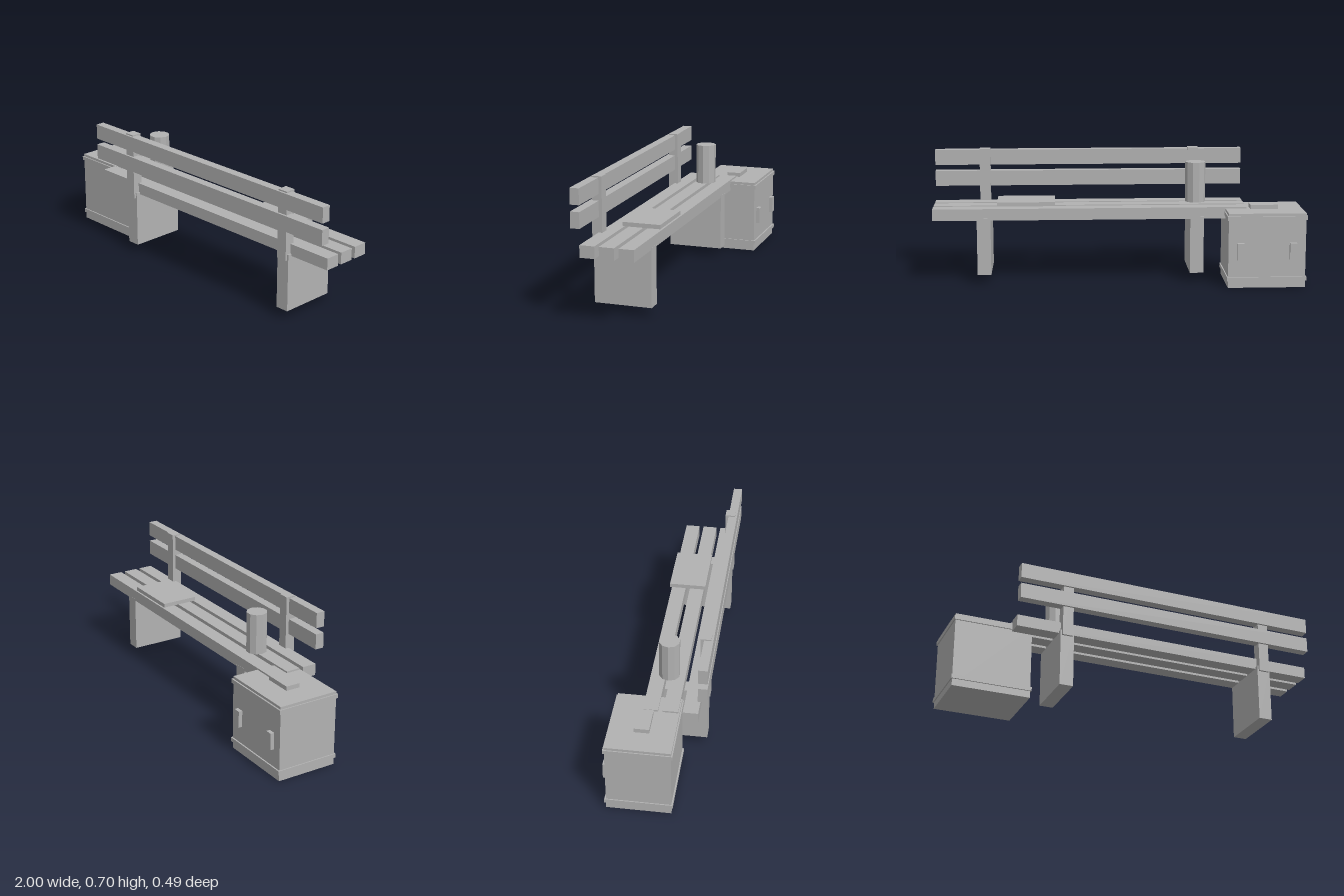
import * as THREE from 'three';

export function createModel() {
  const model = new THREE.Group();
  model.name = 'benchWithCabinet';
  const grey = new THREE.MeshStandardMaterial({ color: 0xb2b2b2 });
  grey.name = 'plain grey';

  // Box given by its lower and upper limit on each axis
  const box = (name, [x0, x1], [y0, y1], [z0, z1], parent) => {
    const mesh = new THREE.Mesh(new THREE.BoxGeometry(x1 - x0, y1 - y0, z1 - z0), grey);
    mesh.position.set((x0 + x1) / 2, (y0 + y1) / 2, (z0 + z1) / 2);
    mesh.name = name;
    parent.add(mesh);
  };
  const group = (name) => {
    const g = new THREE.Group();
    g.name = name;
    model.add(g);
    return g;
  };

  // Bench: slats, backrest and two supports
  const bench = group('bench');
  const length = [-0.693, 1];
  for (const z of [-0.079, 0.023, 0.124]) box('seatSlat', length, [0.35, 0.413], [z, z + 0.078], bench);
  for (const y of [0.493, 0.61]) box('backSlat', length, [y, y + 0.083], [0.199, 0.247], bench);
  for (const x of [-0.425, 0.726]) {
    box('leg', [x - 0.037, x + 0.037], [0.05, 0.361], [-0.08, 0.225], bench);
    box('backPost', [x - 0.029, x + 0.029], [0.33, 0.7], [0.182, 0.236], bench);
  }

  // Cabinet with trim bands and handles on the rear side
  const cabinet = group('cabinet');
  box('cabinetBody', [-0.994, -0.579], [0, 0.404], [-0.224, 0.108], cabinet);
  for (const y of [0.037, 0.368]) box('trimBand', [-1, -0.573], [y, y + 0.022], [-0.232, 0.115], cabinet);
  for (const x of [-0.926, -0.644]) box('handle', [x - 0.019, x + 0.019], [0.155, 0.245], [-0.245, -0.223], cabinet);

  // Loose items
  box('smallTablet', [-0.861, -0.711], [0.404, 0.427], [-0.097, -0.02], model);
  box('flatPad', [0.341, 0.652], [0.428, 0.45], [-0.087, 0.113], model);

  // Ten-sided cup
  const cupGeometry = new THREE.CylinderGeometry(0.055, 0.055, 0.218, 10).rotateY(Math.PI / 2).toNonIndexed();
  cupGeometry.computeVertexNormals();
  const cup = new THREE.Mesh(cupGeometry, grey);
  cup.position.set(-0.422, 0.539, 0.02);
  cup.name = 'cup';
  model.add(cup);

  return model;
}
